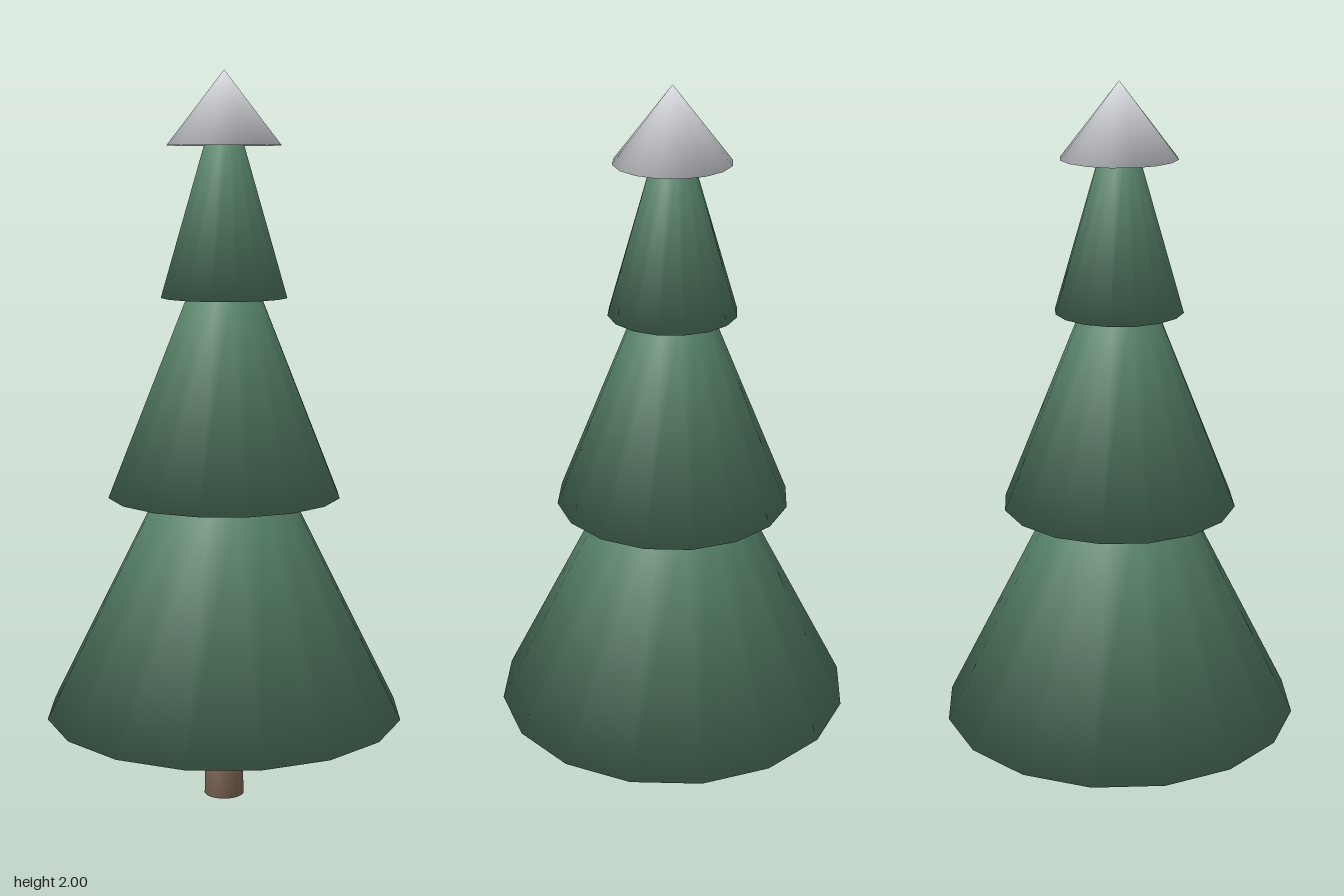
import * as THREE from 'three';

const SIDES = 16;

// Closed tapered cone from y0 to y1, smooth-shaded right over its rims:
// topTilt and rimTilt are the vertical part of the normals at each rim.
function softCone(name, material, y0, y1, r0, r1, topTilt, rimTilt) {
  const geo = new THREE.CylinderGeometry(r1, r0, y1 - y0, SIDES, 1);
  const pos = geo.attributes.position;
  const normal = geo.attributes.normal;
  for (let i = 0; i < pos.count; i++) {
    const x = pos.getX(i), z = pos.getZ(i);
    const r = Math.hypot(x, z);
    const up = pos.getY(i) > 0;
    if (r < 1e-5) {
      normal.setXYZ(i, 0, up ? 1 : -1, 0);
      continue;
    }
    const tilt = up ? topTilt : rimTilt;
    const out = Math.sqrt(1 - tilt * tilt) / r;
    normal.setXYZ(i, x * out, tilt, z * out);
  }
  geo.translate(0, (y0 + y1) / 2, 0);
  const mesh = new THREE.Mesh(geo, material);
  mesh.name = name;
  return mesh;
}

export function createModel() {
  const needles = new THREE.MeshStandardMaterial({ color: 0x58846a });
  needles.name = 'needle green';
  const bark = new THREE.MeshStandardMaterial({ color: 0x856b5a });
  bark.name = 'bark brown';
  const snow = new THREE.MeshStandardMaterial({ color: 0xe2e4e9 });
  snow.name = 'snow white';

  const tree = new THREE.Group();
  tree.name = 'snowyFirTree';

  // Trunk
  tree.add(softCone('trunk', bark, 0, 0.25, 0.056, 0.05, 0.35, -0.35));

  // Three branch tiers, bottom to top: y0, y1, lower radius, upper radius
  const tiers = [
    ['lowerBranches', 0.245, 0.86, 0.495, 0.187],
    ['middleBranches', 0.86, 1.4, 0.32, 0.103],
    ['upperBranches', 1.4, 1.805, 0.173, 0.054],
  ];
  for (const [name, y0, y1, r0, r1] of tiers) {
    tree.add(softCone(name, needles, y0, y1, r0, r1, 0.6, -0.8));
  }

  // Snow cap on the tip
  tree.add(softCone('snowCap', snow, 1.803, 2, 0.155, 0, 1, -0.43));

  return tree;
}
